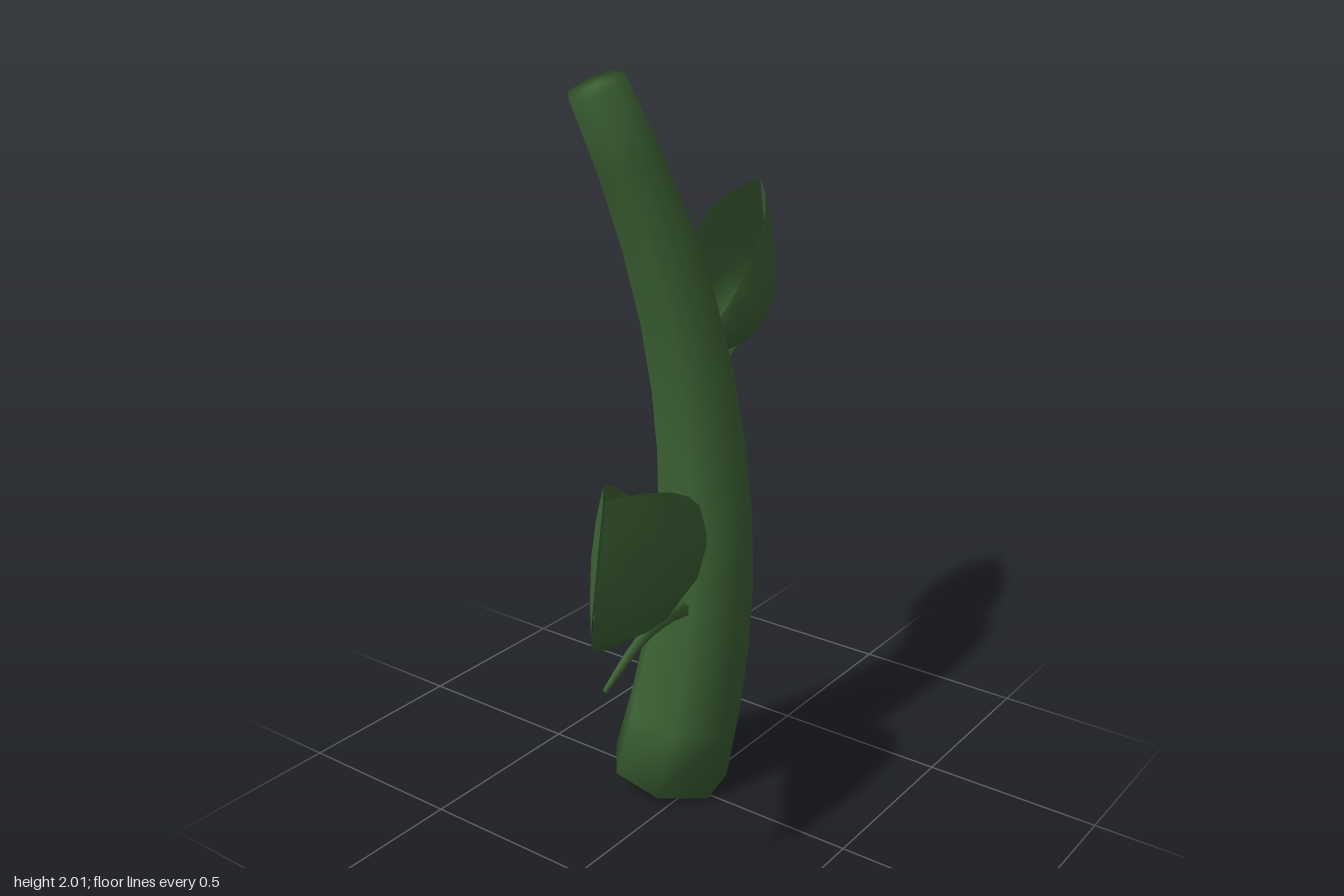
import * as THREE from 'three';

const green = new THREE.MeshStandardMaterial({ color: 0x3d6335 });
green.name = 'stemGreen';

const V = (x, y, z) => new THREE.Vector3(x, y, z);

// Skin a list of equally long point rows; closed rows also get end caps.
function loft(rows, closed) {
  const n = rows[0].length;
  const points = rows.flat();
  const index = [];
  for (let i = 0; i < rows.length - 1; i++) {
    for (let j = 0; j < (closed ? n : n - 1); j++) {
      const k = (j + 1) % n;
      const a = i * n + j, b = i * n + k, c = a + n, d = b + n;
      index.push(a, c, b, b, c, d);
    }
  }
  if (closed) {
    [0, rows.length - 1].forEach((r, top) => {
      const centre = V(0, 0, 0);
      rows[r].forEach((p) => centre.addScaledVector(p, 1 / n));
      const m = points.push(centre) - 1;
      for (let j = 0; j < n; j++) {
        const a = r * n + j, b = r * n + ((j + 1) % n);
        index.push(m, ...(top ? [b, a] : [a, b]));
      }
    });
  }
  const geo = new THREE.BufferGeometry().setFromPoints(points);
  geo.setIndex(index);
  geo.computeVertexNormals();
  return geo;
}

// Tapered tube along a smooth path.
function taperedTube(path, r0, r1, steps, sides, side) {
  const curve = new THREE.CatmullRomCurve3(path);
  const rows = [];
  for (let i = 0; i <= steps; i++) {
    const t = i / steps;
    const c = curve.getPointAt(t), T = curve.getTangentAt(t);
    const e1 = side.clone().addScaledVector(T, -side.dot(T)).normalize();
    const e2 = e1.clone().cross(T);
    const r = r0 + (r1 - r0) * t;
    rows.push(Array.from({ length: sides }, (_, j) => {
      const a = (j / sides) * Math.PI * 2;
      return c.clone().addScaledVector(e1, r * Math.cos(a)).addScaledVector(e2, r * Math.sin(a));
    }));
  }
  return loft(rows, true);
}

// Cupped leaf wall: open along the top, pinched into an upright edge at the tip.
function leafWall(half, keel, inside) {
  // distance along leaf, half width, keel height, rim height
  const stations = [
    [-0.015, 0.014, -0.018, 0.015], [0.05, 0.05, -0.057, 0.036], [0.11, 0.083, -0.096, 0.066],
    [0.22, 0.11, -0.15, 0.107], [0.33, 0.115, -0.19, 0.137], [0.44, 0.1, -0.213, 0.152],
    [0.55, 0.062, -0.217, 0.152], [0.668, 0.003, -0.202, 0.135],
  ];
  // cross-section from back rim through the keel to the front rim
  const section = [...half.map(([w, h]) => [-w, h]), [0, keel], ...half.slice().reverse()];
  if (inside) section.reverse();
  const rows = stations.map(([t, W, lo, hi]) => section.map(([w, h]) => {
    const v = lo + (hi - lo) * h;
    const s = t * 0.951 - v * 0.309;
    const y = 1.285 + t * 0.309 + v * 0.951;
    const side = W * w + 0.015;
    return V(0.06 + 0.95 * s + 0.31 * side, y, -0.05 - 0.31 * s + 0.95 * side);
  }));
  return loft(rows, false);
}

function mesh(name, geo) {
  const m = new THREE.Mesh(geo, green);
  m.name = name;
  return m;
}

export function createModel() {
  const model = new THREE.Group();
  model.name = 'plantStalk';

  // Curved seven-sided stalk
  const stalkPath = [
    V(0.01, 0.03, -0.09), V(0.035, 0.3, -0.04), V(0.042, 0.6, 0), V(0.035, 0.9, 0.008),
    V(0, 1.2, -0.002), V(-0.07, 1.5, -0.025), V(-0.17, 1.8, -0.068), V(-0.243, 1.977, -0.1),
  ];
  model.add(mesh('stalk', taperedTube(stalkPath, 0.17, 0.075, 10, 7, V(1, 0, 0))));

  // A leaf with its thin twig below, repeated lower down on the opposite side
  const leafOutside = leafWall([[0.8, 1], [0.95, 0.8], [1, 0.57], [0.9, 0.3], [0.58, 0.09]], 0, false);
  const leafInside = leafWall([[0.8, 1], [0.78, 0.75], [0.68, 0.45], [0.4, 0.25]], 0.2, true);
  const twigPath = [
    V(0.125, 1.105, -0.055), V(0.25, 1.15, -0.105), V(0.4, 1.178, -0.155),
    V(0.52, 1.182, -0.195), V(0.665, 1.168, -0.242),
  ];
  const twig = taperedTube(twigPath, 0.024, 0.007, 8, 6, V(0, 1, 0));
  ['upperLeft', 'lowerRight'].forEach((name, i) => {
    const branch = new THREE.Group();
    branch.name = name + 'Branch';
    branch.add(mesh('leafOutside', leafOutside), mesh('leafInside', leafInside), mesh('twig', twig));
    branch.rotation.y = i * Math.PI;
    branch.position.y = -0.48 * i;
    model.add(branch);
  });

  return model;
}
